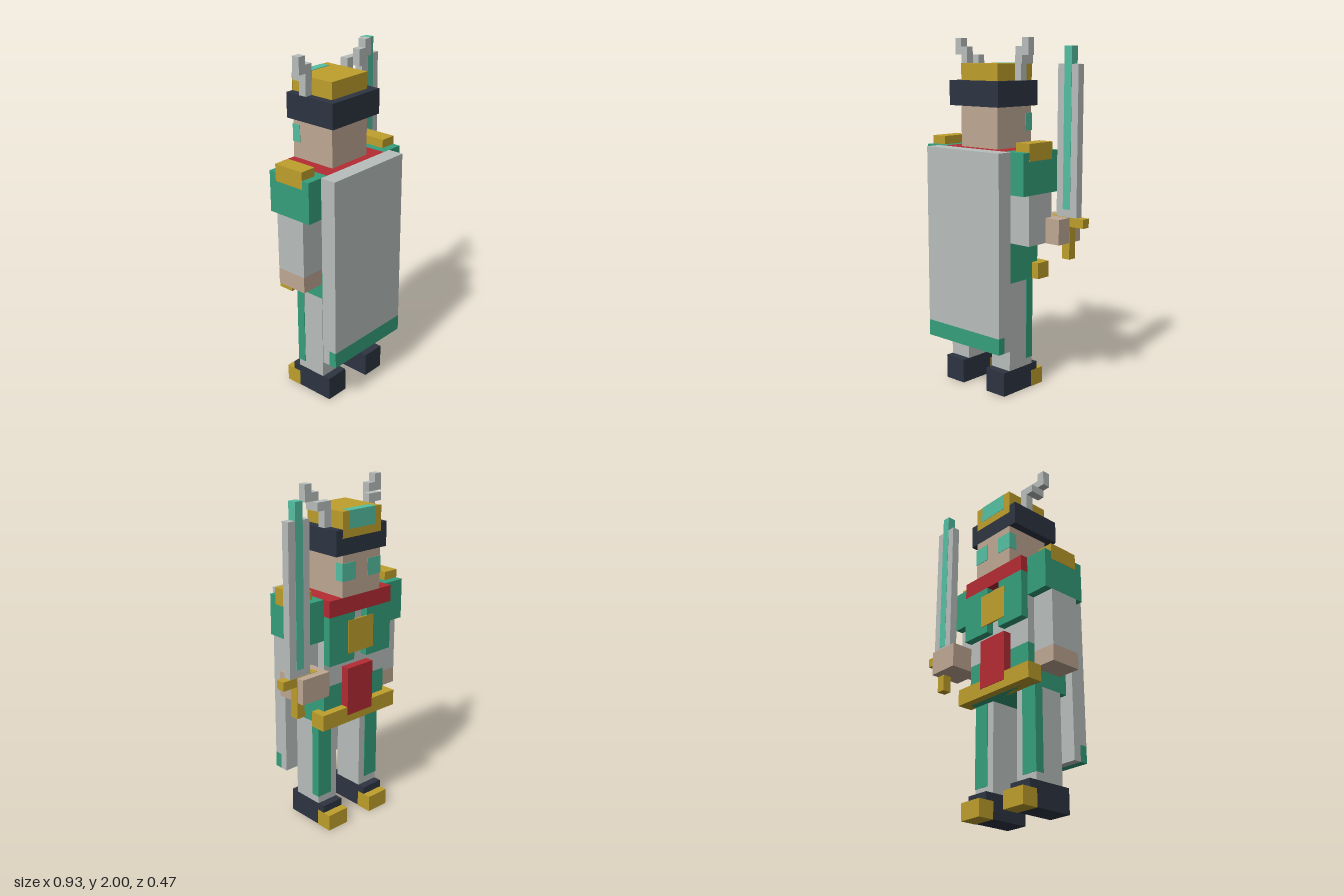
import * as THREE from 'three';

const U = 2 / 43; // one block
const colours = {
  steelGrey: 0xb9bfbd, green: 0x35a07b, gold: 0xbf9f2c, red: 0xb52b33,
  navy: 0x2d3542, skin: 0xbfa894, teal: 0x55c0a3,
};

export function createModel() {
  const root = new THREE.Group();
  root.name = 'blockKnight';
  const mats = {};
  for (const [name, color] of Object.entries(colours)) {
    mats[name] = new THREE.MeshStandardMaterial({ color });
    mats[name].name = name;
  }

  // Box from block ranges; e swells it slightly so painted details win over the part below
  function box(name, mat, [x0, x1], [y0, y1], [z0, z1], e = 0) {
    const g = new THREE.BoxGeometry((x1 - x0 + 2 * e) * U, (y1 - y0 + 2 * e) * U, (z1 - z0 + 2 * e) * U);
    g.translate((x0 + x1) / 2 * U, (y0 + y1) / 2 * U, (z0 + z1) / 2 * U);
    const m = new THREE.Mesh(g, mats[mat]);
    m.name = name;
    root.add(m);
  }
  // The body is symmetric about x = -2
  function pair(name, mat, [x0, x1], y, z, e) {
    box(name + 'Left', mat, [x0, x1], y, z, e);
    box(name + 'Right', mat, [-4 - x1, -4 - x0], y, z, e);
  }
  const P = 0.06;

  // Feet and legs
  pair('shoe', 'navy', [0, 3], [0, 3], [-3, 3]);
  pair('toeCap', 'gold', [0, 3], [0, 2], [-4, -2], 0.04);
  pair('leg', 'steelGrey', [0, 3], [3, 14], [-2, 2]);
  pair('legStripe', 'green', [1, 3], [4, 14], [-2, -1], P);

  // Skirt, belt and sash
  box('skirt', 'green', [-7, 3], [14, 19], [-3, 3]);
  box('skirtBack', 'green', [-7, 3], [19, 20], [2, 3]);
  box('belt', 'gold', [-8, 4], [14, 16], [-4, -2]);
  box('sash', 'red', [-4, 0], [15, 21], [-4, -3], P);

  // Torso, open jacket and collar
  box('torso', 'steelGrey', [-7, 3], [19, 28], [-3, 2]);
  pair('jacketFront', 'green', [-1, 3], [22, 28], [-4, -3]);
  box('jacketBack', 'green', [-7, 3], [25, 28], [2, 3]);
  box('collar', 'red', [-7, 3], [28, 30], [-4, 3]);
  box('chestEmblem', 'gold', [-4, 0], [23, 27], [-4, -3.9], P);

  // Cape with hem
  box('cape', 'steelGrey', [-8, 4], [8, 30], [3, 5]);
  box('capeLining', 'steelGrey', [-8, 4], [6, 8], [3, 4]);
  box('capeHem', 'green', [-8, 4], [6, 8], [4, 5]);

  // Arms
  pair('sleeve', 'green', [3, 6], [25, 30], [-3, 3]);
  pair('shoulderPlate', 'gold', [4, 6], [29, 31], [-2, 2], 0.03);
  box('swordArm', 'steelGrey', [3, 6], [19, 25], [-2, 2]);
  box('swordHand', 'skin', [4, 8], [19, 22], [-5, -1], 0.02);
  box('freeArm', 'steelGrey', [-10, -7], [18, 25], [-2, 2]);
  box('freeHand', 'skin', [-10, -7], [16, 18], [-2, 2]);

  // Sword
  box('swordGrip', 'gold', [7, 8], [17, 22], [-4, -3], P);
  box('swordGuard', 'gold', [5, 10], [21, 22], [-4, -3], 0.05);
  box('blade', 'steelGrey', [6, 9], [22, 40], [-4, -3]);
  box('bladeCore', 'teal', [7, 8], [23, 42], [-4, -3], 0.04);

  // Head and eyes
  box('head', 'skin', [-5, 1], [30, 35], [-4, 2]);
  pair('eye', 'teal', [-1, 1], [32, 34], [-4, -3], P);

  // Helmet
  box('helmetBrim', 'navy', [-6, 2], [35, 38], [-4, 3]);
  box('helmetCrown', 'gold', [-5, 1], [38, 40], [-4, 2]);
  box('helmetFrontPlate', 'gold', [-5, 1], [37, 40], [-4, -3.95], 0.03);
  box('helmetGem', 'teal', [-4, 0], [38, 40], [-4, -3], P);

  // Stepped horns
  pair('hornBase', 'steelGrey', [1, 2], [38, 41], [-2, -1]);
  pair('hornBend', 'steelGrey', [2, 3], [40, 41], [-2, -1]);
  pair('hornMiddle', 'steelGrey', [2, 3], [40, 42], [-1, 0]);
  pair('hornTip', 'steelGrey', [3, 4], [41, 43], [-1, 0]);

  return root;
}
